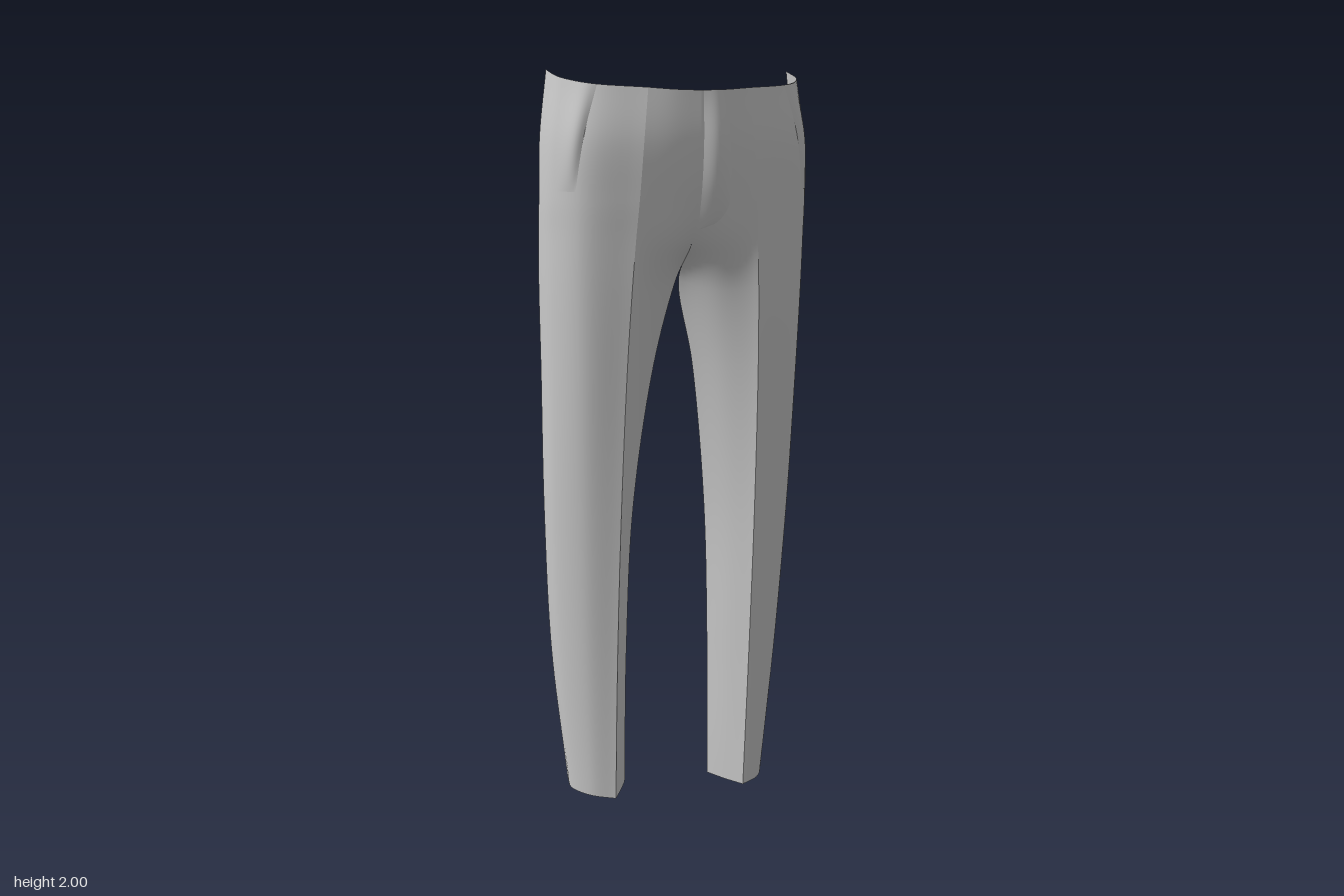
import * as THREE from 'three';

// Lengthwise rails of the left leg, waist to hem, all with the same rows.
const V = (list) => list.map(([x, y, z]) => new THREE.Vector3(x, y, z));

const sideEdge = V([
  [0.347, 1.995, -0.09], [0.366, 1.82, -0.09], [0.373, 1.66, -0.078], [0.373, 1.56, -0.085],
  [0.371, 1.43, -0.093], [0.363, 1.2, -0.106], [0.35, 0.8, -0.13], [0.325, 0.4, -0.154], [0.275, 0.02, -0.172],
]);
const crease = V([
  [0.14, 1.947, 0.138], [0.155, 1.81, 0.149], [0.165, 1.66, 0.142], [0.172, 1.56, 0.133],
  [0.18, 1.42, 0.122], [0.188, 1.2, 0.102], [0.194, 0.8, 0.066], [0.194, 0.4, 0.031], [0.19, 0, 0],
]);
const innerMid = V([
  [0.07, 1.942, 0.151], [0.08, 1.805, 0.155], [0.085, 1.66, 0.143], [0.087, 1.55, 0.125],
  [0.085, 1.41, 0.066], [0.112, 1.2, 0.033], [0.146, 0.8, -0.006], [0.153, 0.4, -0.036], [0.156, 0.004, -0.057],
]);
// Centre seam down to the crotch, then the inside leg edge.
const innerEdge = V([
  [0, 1.94, 0.157], [0, 1.8, 0.157], [0, 1.66, 0.136], [0, 1.54, 0.09],
  [0.004, 1.43, -0.024], [0.056, 1.2, -0.055], [0.105, 0.8, -0.09], [0.121, 0.4, -0.105], [0.125, 0.01, -0.112],
]);
// Rails between side edge and crease: x and z, height blended from both.
const between = (list, k) => list.map(([x, z], i) =>
  new THREE.Vector3(x, THREE.MathUtils.lerp(sideEdge[i].y, crease[i].y, k), z));
const sideFront = between([
  [0.337, 0.005], [0.358, 0.01], [0.363, 0.008], [0.361, 0.003],
  [0.359, -0.005], [0.354, -0.022], [0.343, -0.055], [0.32, -0.083], [0.284, -0.105],
], 0.45);
const thighFront = between([
  [0.275, 0.083], [0.298, 0.096], [0.305, 0.09], [0.306, 0.084],
  [0.304, 0.076], [0.298, 0.06], [0.287, 0.024], [0.271, -0.01], [0.249, -0.04],
], 0.8);

const curves = (rails) => rails.map((r) => new THREE.CatmullRomCurve3(r));
const outerRails = curves([sideEdge, sideFront, thighFront, crease]);
const innerRails = curves([crease, innerMid, innerEdge]);

// Point on a lofted panel: u runs across the rails, v from waist to hem.
function loft(rails, u, v) {
  const p = new THREE.CatmullRomCurve3(rails.map((r) => r.getPoint(v))).getPoint(u);
  p.x = Math.max(0, p.x);
  return p;
}

const material = new THREE.MeshStandardMaterial({ color: 0xcccccc, side: THREE.DoubleSide });

// Grid surface from a point function; mirror = -1 builds the other side.
function patch(name, f, nu, nv, mirror = 1) {
  const pos = [], index = [];
  for (let j = 0; j <= nv; j++) {
    for (let i = 0; i <= nu; i++) {
      const p = f(i / nu, j / nv);
      pos.push(p.x * mirror, p.y, p.z);
      if (i === nu || j === nv) continue;
      const a = j * (nu + 1) + i, b = a + 1, c = a + nu + 1, d = c + 1;
      if (mirror > 0) index.push(a, b, c, b, d, c);
      else index.push(a, c, b, b, c, d);
    }
  }
  const g = new THREE.BufferGeometry();
  g.setAttribute('position', new THREE.Float32BufferAttribute(pos, 3));
  g.setIndex(index);
  g.computeVertexNormals();
  const mesh = new THREE.Mesh(g, material);
  mesh.name = name;
  return mesh;
}

// Slanted pocket: a low fold that is highest at its opening and fades to the side.
function pocketPoint(u, v) {
  const row = 0.235 * v;
  const across = THREE.MathUtils.lerp(0.36, 0.7 - 0.1 * v, u);
  const p = loft(outerRails, across, row);
  const lift = 0.001 + 0.011 * Math.sin(Math.PI * (0.15 + 0.85 * v)) * Math.sin(Math.PI * Math.pow(u, 2.2));
  return p.add(new THREE.Vector3(0.5, 0, 0.85).multiplyScalar(lift));
}

// Fly flap: straight on the centre seam, rounded at the lower outer corner.
function flyPoint(u, v) {
  const round = v < 0.7 ? 1 : Math.sqrt(Math.max(0, 1 - ((v - 0.7) / 0.3) ** 2));
  const p = loft(innerRails, 1 - 0.05 - 0.48 * round * (1 - u), 0.34 * v);
  p.z += 0.001 + 0.015 * Math.sin(Math.PI * u) * Math.sin(Math.PI * (0.1 + 0.9 * v));
  return p;
}

export function createModel() {
  const model = new THREE.Group();
  model.name = 'trouserFront';
  for (const [side, mirror] of [['left', 1], ['right', -1]]) {
    const leg = new THREE.Group();
    leg.name = side + 'Leg';
    leg.add(
      patch(side + 'OuterPanel', (u, v) => loft(outerRails, u, v), 24, 80, mirror),
      patch(side + 'InnerPanel', (u, v) => loft(innerRails, u, v), 18, 80, mirror),
      patch(side + 'Pocket', pocketPoint, 12, 16, mirror),
    );
    model.add(leg);
  }
  model.add(patch('fly', flyPoint, 12, 24));
  return model;
}
